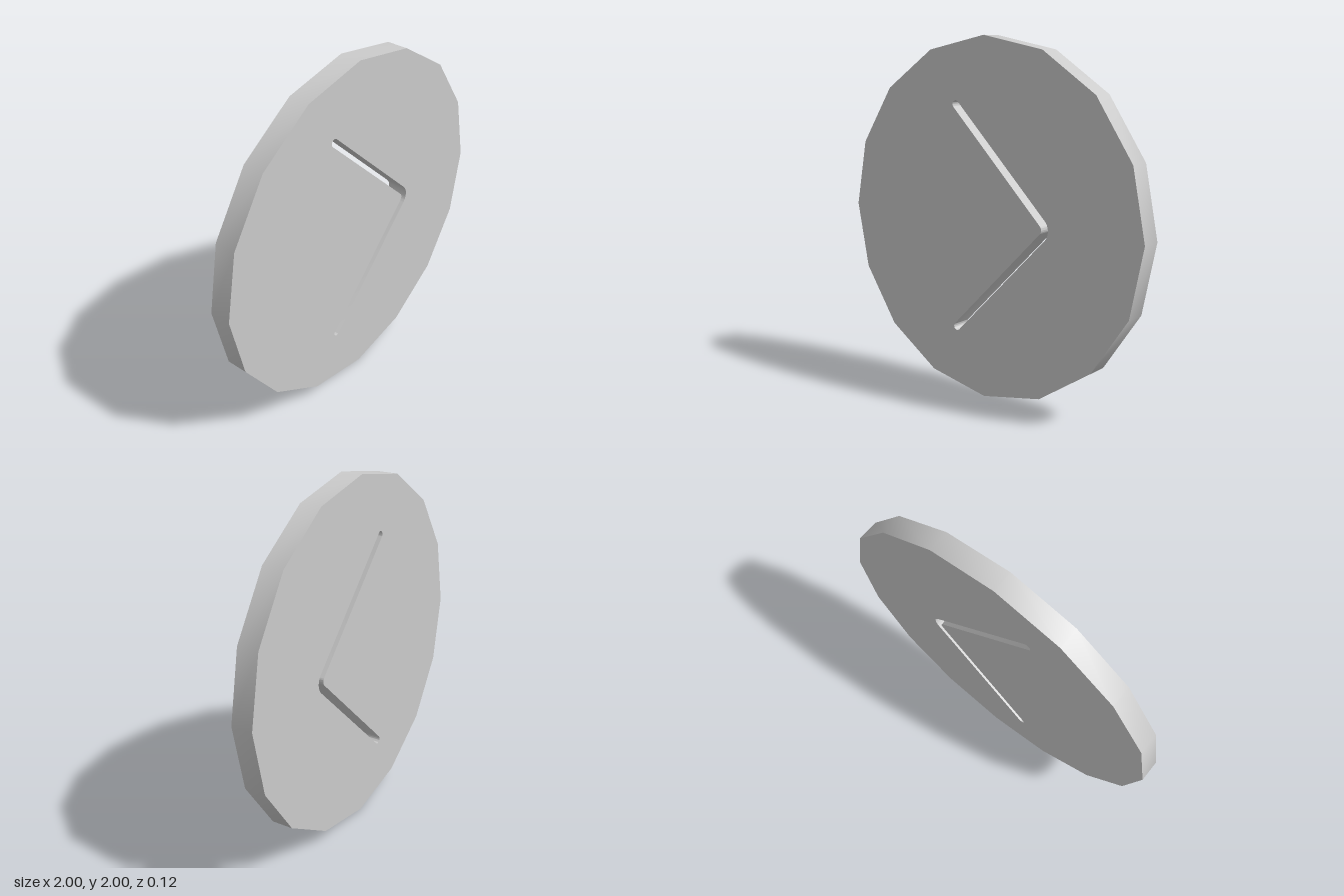
import * as THREE from 'three';
import { toCreasedNormals } from 'three/addons/utils/BufferGeometryUtils.js';

const SIDES = 16;
const DEPTH = 0.12;
const SLOT = 0.022; // half width of the slot
const BEND = 0.053; // centre-line radius of the slot's corner

// Chevron slot with round ends and a rounded corner, pointing to +x
function chevronSlot() {
  const q = Math.PI / 4;
  const path = new THREE.Path();
  path.absarc(0.355, 0, BEND + SLOT, q, -q, true); // outer corner
  path.absarc(-0.2, -0.63, SLOT, -q, -5 * q, true); // lower end
  path.absarc(0.355, 0, BEND - SLOT, -q, q, false); // inner corner
  path.absarc(-0.2, 0.63, SLOT, 5 * q, q, true); // upper end
  path.closePath();
  return path;
}

export function createModel() {
  const group = new THREE.Group();
  group.name = 'slottedDisc';

  // Sixteen-sided outline with a corner at the top
  const corners = [];
  for (let i = 0; i < SIDES; i++) {
    const a = (i / SIDES) * Math.PI * 2;
    corners.push(new THREE.Vector2(Math.cos(a), Math.sin(a)));
  }
  const outline = new THREE.Shape(corners);
  outline.holes.push(chevronSlot());

  // Flat plate: smooth rim, sharp edges to the faces
  const plate = new THREE.ExtrudeGeometry(outline, { depth: DEPTH, bevelEnabled: false, curveSegments: 12 });
  plate.translate(0, 1, -DEPTH / 2);
  const disc = new THREE.Mesh(
    toCreasedNormals(plate, Math.PI / 6),
    new THREE.MeshStandardMaterial({ color: 0xcccccc })
  );
  disc.name = 'disc';
  group.add(disc);
  return group;
}
